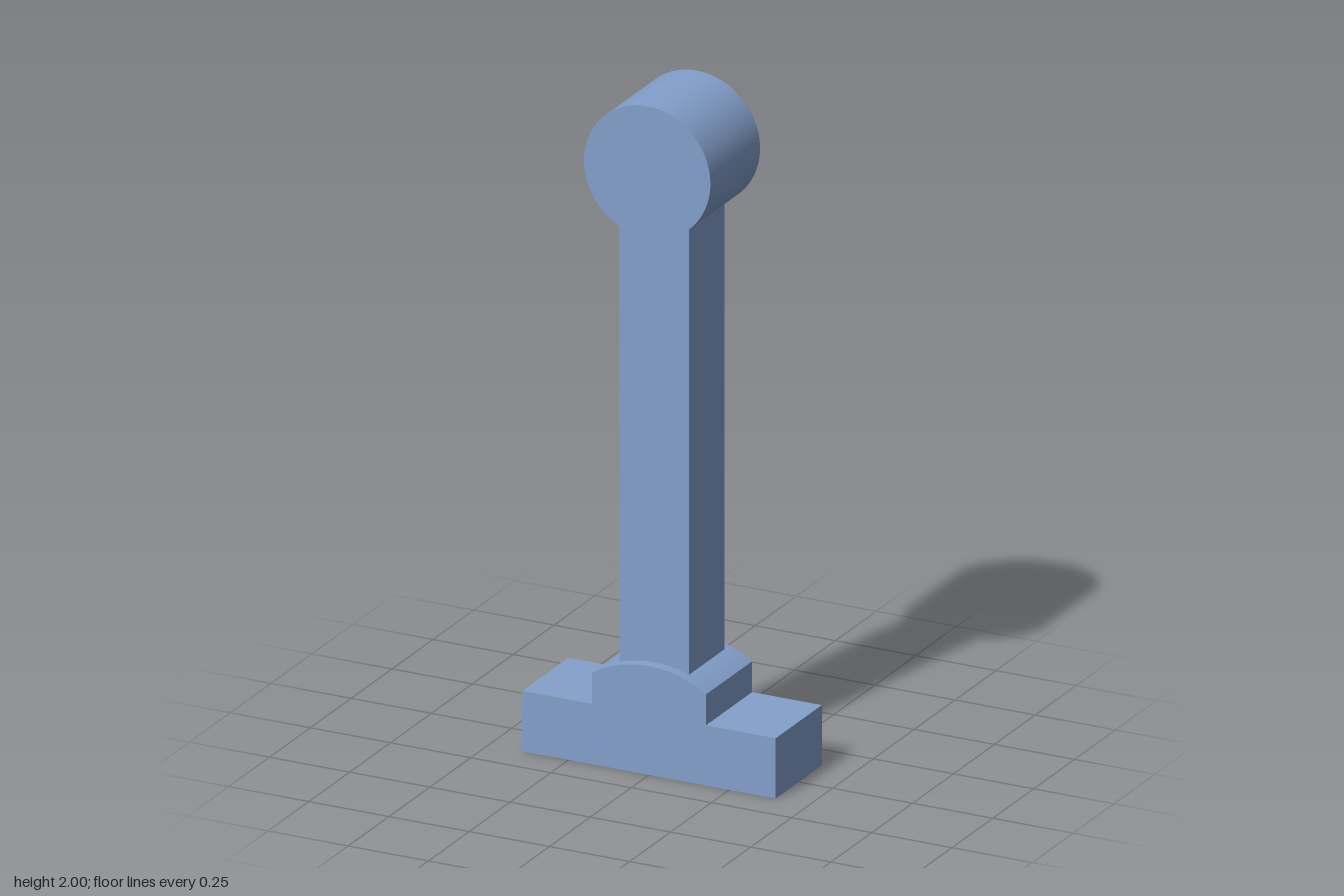
import * as THREE from 'three';

export function createModel() {
  const model = new THREE.Group();
  const blue = new THREE.MeshStandardMaterial({ color: 0x84a0cc });
  blue.name = 'steel blue';

  function add(name, geometry, y) {
    const mesh = new THREE.Mesh(geometry, blue);
    mesh.name = name;
    mesh.position.y = y;
    model.add(mesh);
  }

  // Stepped foot with a domed middle, extruded along z
  const halfWidth = 0.395, step = 0.18, domeHalf = 0.178, domeRadius = 0.325, depth = 0.282;
  const angle = Math.acos(domeHalf / domeRadius);
  const profile = new THREE.Shape();
  profile.moveTo(-halfWidth, 0);
  profile.lineTo(halfWidth, 0);
  profile.lineTo(halfWidth, step);
  profile.lineTo(domeHalf, step);
  profile.absarc(0, 0, domeRadius, angle, Math.PI - angle, false);
  profile.lineTo(-domeHalf, step);
  profile.lineTo(-halfWidth, step);
  profile.closePath();
  const foot = new THREE.ExtrudeGeometry(profile, { depth, bevelEnabled: false, curveSegments: 32 });
  foot.translate(0, 0, -depth / 2);
  add('foot', foot, 0);

  // Square column, its ends sunk slightly into the foot and the head
  const bottom = 0.3, top = 1.65;
  add('column', new THREE.BoxGeometry(0.216, top - bottom, 0.216), (bottom + top) / 2);

  // Round head lying along z
  const headRadius = 0.197;
  const head = new THREE.CylinderGeometry(headRadius, headRadius, 0.304, 96);
  head.rotateX(Math.PI / 2);
  add('head', head, 2 - headRadius);

  return model;
}
